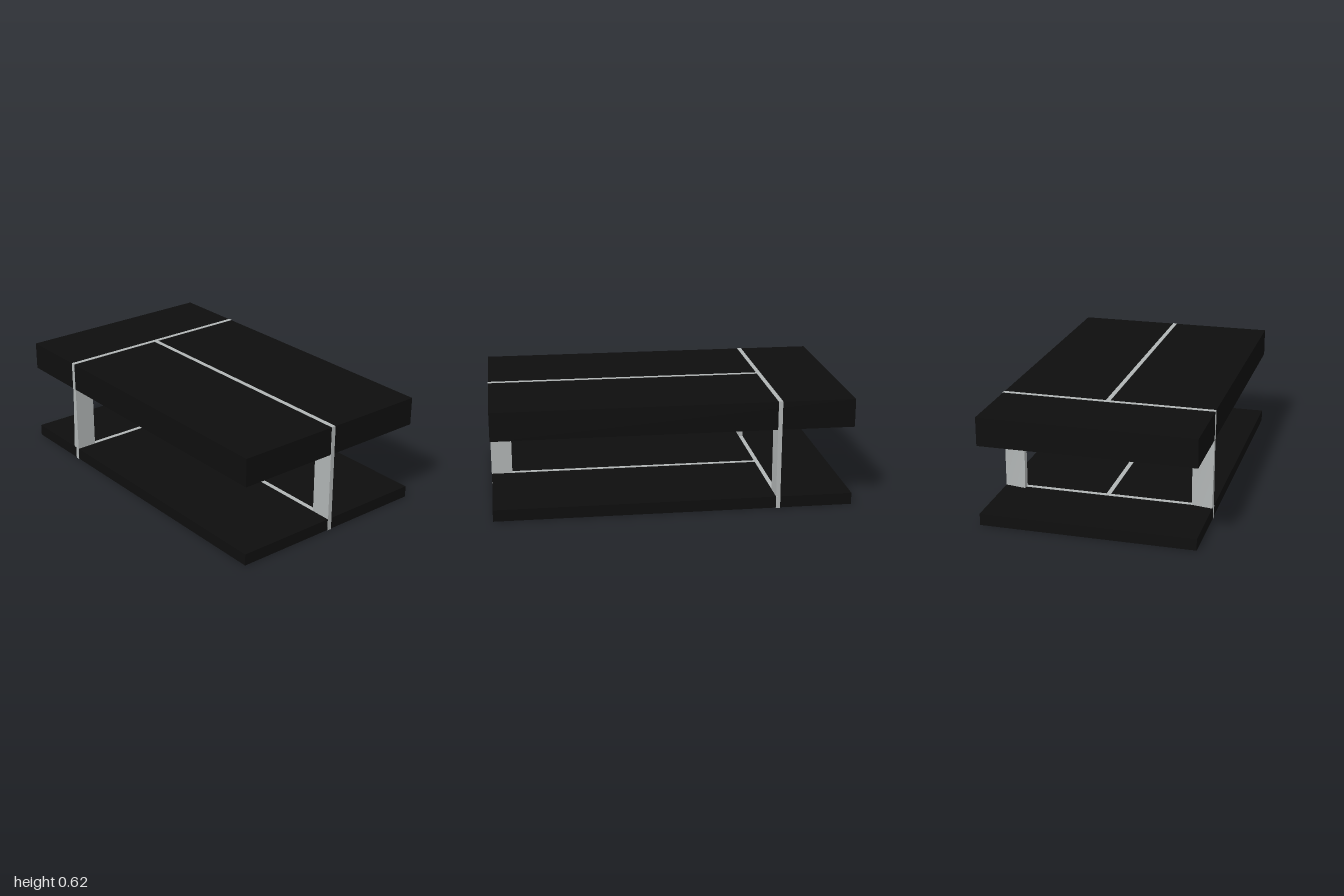
import * as THREE from 'three';

export function createModel() {
  const model = new THREE.Group();
  const black = new THREE.MeshStandardMaterial({ color: 0x0e0e0e });
  black.name = 'black';
  const grey = new THREE.MeshStandardMaterial({ color: 0xb0b4b4 });
  grey.name = 'light grey';

  // Box given by its limits on each axis
  function box(name, material, [x0, x1], [y0, y1], [z0, z1]) {
    const geometry = new THREE.BoxGeometry(x1 - x0, y1 - y0, z1 - z0);
    geometry.translate((x0 + x1) / 2, (y0 + y1) / 2, (z0 + z1) / 2);
    const mesh = new THREE.Mesh(geometry, material);
    mesh.name = name;
    model.add(mesh);
    return mesh;
  }

  const lip = 0.002; // how far the inlaid strips stand proud
  const barZ = [-0.592, -0.568];
  const spineX = [-0.0125, 0.0125];

  // Two slabs, each crossed by a T of inlaid strips
  for (const [name, y0, y1] of [['lower', 0, 0.07], ['upper', 0.456, 0.62]]) {
    box(name + 'Slab', black, [-0.595, 0.595], [y0 + lip, y1 - lip], [-1, 1 - lip]);
    box(name + 'SpineStrip', grey, spineX, [y0, y1], [barZ[1], 1]);
    box(name + 'CrossStrip', grey, [-0.595 - lip, 0.595 + lip], [y0, y1], barZ);
  }

  // Front post in line with the spine strips
  box('frontPost', grey, spineX, [0.068, 0.458], [0.88, 1]);

  // Back posts; the lower rear corner on the -x side leans back slightly
  for (const [name, x0] of [['rightBackPost', -0.595], ['leftBackPost', 0.477]]) {
    const post = box(name, grey, [x0, x0 + 0.118], [0.068, 0.458], barZ);
    const p = post.geometry.attributes.position;
    for (let i = 0; i < p.count; i++) {
      if (p.getX(i) < x0 + 0.05 && p.getY(i) < 0.2 && p.getZ(i) < -0.58) p.setZ(i, -0.612);
    }
    post.geometry.computeVertexNormals();
  }

  return model;
}
